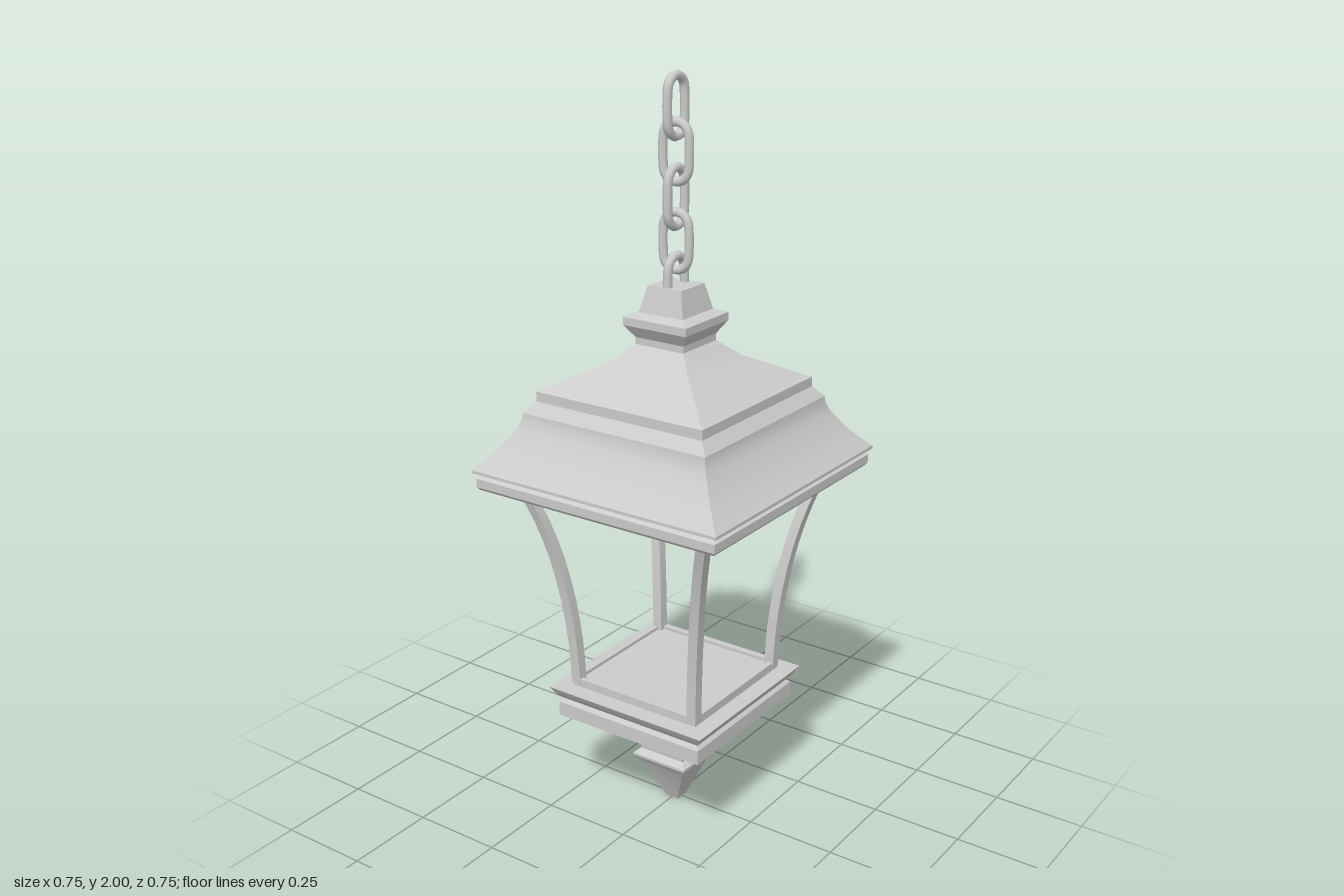
import * as THREE from 'three';
import { toCreasedNormals } from 'three/addons/utils/BufferGeometryUtils.js';

const metal = new THREE.MeshStandardMaterial({ color: 0xcccccc });

function addMesh(parent, name, geometry) {
  const mesh = new THREE.Mesh(geometry, metal);
  mesh.name = name;
  parent.add(mesh);
  return mesh;
}

// Square turned shape from a profile of [half width, height]
function squareLathe(profile) {
  const points = profile.map(([w, y]) => new THREE.Vector2(w * Math.SQRT2, y));
  return toCreasedNormals(new THREE.LatheGeometry(points, 4, Math.PI / 4), 0.5);
}

// Curved square post, offset diagonally by a path of [offset, height]
function postGeometry(sx, sz) {
  const path = new THREE.CatmullRomCurve3(
    [[0.188, 0.38], [0.193, 0.5], [0.204, 0.62], [0.224, 0.75], [0.25, 0.86], [0.282, 0.96]]
      .map(([o, y]) => new THREE.Vector3(o, y, 0)));
  const geometry = new THREE.BoxGeometry(0.028, 1, 0.028, 1, 10, 1);
  const pos = geometry.attributes.position;
  for (let i = 0; i < pos.count; i++) {
    const p = path.getPoint(pos.getY(i) + 0.5);
    pos.setXYZ(i, pos.getX(i) + sx * p.x, p.y, pos.getZ(i) + sz * p.x);
  }
  return toCreasedNormals(geometry, 0.5);
}

// Oval chain link standing upright
function linkGeometry() {
  const points = [];
  for (let i = 0; i < 16; i++) {
    const a = ((i + 0.5) / 16) * Math.PI * 2;
    points.push(new THREE.Vector3(0.035 * Math.cos(a), 0.035 * Math.sin(a) + 0.038 * Math.sign(Math.sin(a)), 0));
  }
  const curve = new THREE.CatmullRomCurve3(points, true);
  return new THREE.TubeGeometry(curve, 40, 0.012, 8, true);
}

export function createModel() {
  const lantern = new THREE.Group();
  lantern.name = 'hangingLantern';

  // Base with pointed finial and recessed floor
  addMesh(lantern, 'base', squareLathe([
    [0, 0], [0.02, 0], [0.065, 0.11], [0.085, 0.138], [0.085, 0.145], [0.068, 0.158],
    [0.07, 0.18], [0.085, 0.197], [0.228, 0.285], [0.228, 0.325], [0.218, 0.335],
    [0.23, 0.345], [0.246, 0.372], [0.2, 0.374], [0.2, 0.397], [0.187, 0.397],
    [0.187, 0.388], [0, 0.388],
  ]));

  // Four corner posts
  const posts = new THREE.Group();
  posts.name = 'posts';
  for (const sx of [-1, 1]) for (const sz of [-1, 1]) addMesh(posts, 'post', postGeometry(sx, sz));
  lantern.add(posts);

  // Hollow roof: inside surface downward, then outside upward to the cap
  addMesh(lantern, 'roof', squareLathe([
    [0, 1.31], [0.06, 1.31], [0.23, 1.2], [0.26, 1.15], [0.28, 1.08], [0.295, 1.0], [0.295, 0.938],
    [0.312, 0.938], [0.322, 0.957], [0.36, 0.957], [0.366, 0.965], [0.366, 0.988], [0.352, 0.996],
    [0.374, 1.004], [0.374, 1.012], [0.345, 1.042], [0.322, 1.068], [0.304, 1.095], [0.29, 1.117],
    [0.28, 1.14], [0.278, 1.158], [0.253, 1.187], [0.253, 1.213],
    [0.12, 1.282], [0.095, 1.305], [0.073, 1.325], [0.073, 1.343], [0.095, 1.376],
    [0.095, 1.397], [0.067, 1.408], [0.063, 1.425], [0.051, 1.475], [0, 1.475],
  ]));

  // Chain of alternating links, the lowest sunk into the cap
  const chain = new THREE.Group();
  chain.name = 'chain';
  const link = linkGeometry();
  for (let i = 0; i < 5; i++) {
    const mesh = addMesh(chain, 'chainLink', link);
    mesh.position.y = 1.915 - i * 0.11;
    mesh.rotation.y = i % 2 ? Math.PI / 2 + 0.12 : 0;
  }
  lantern.add(chain);

  return lantern;
}
